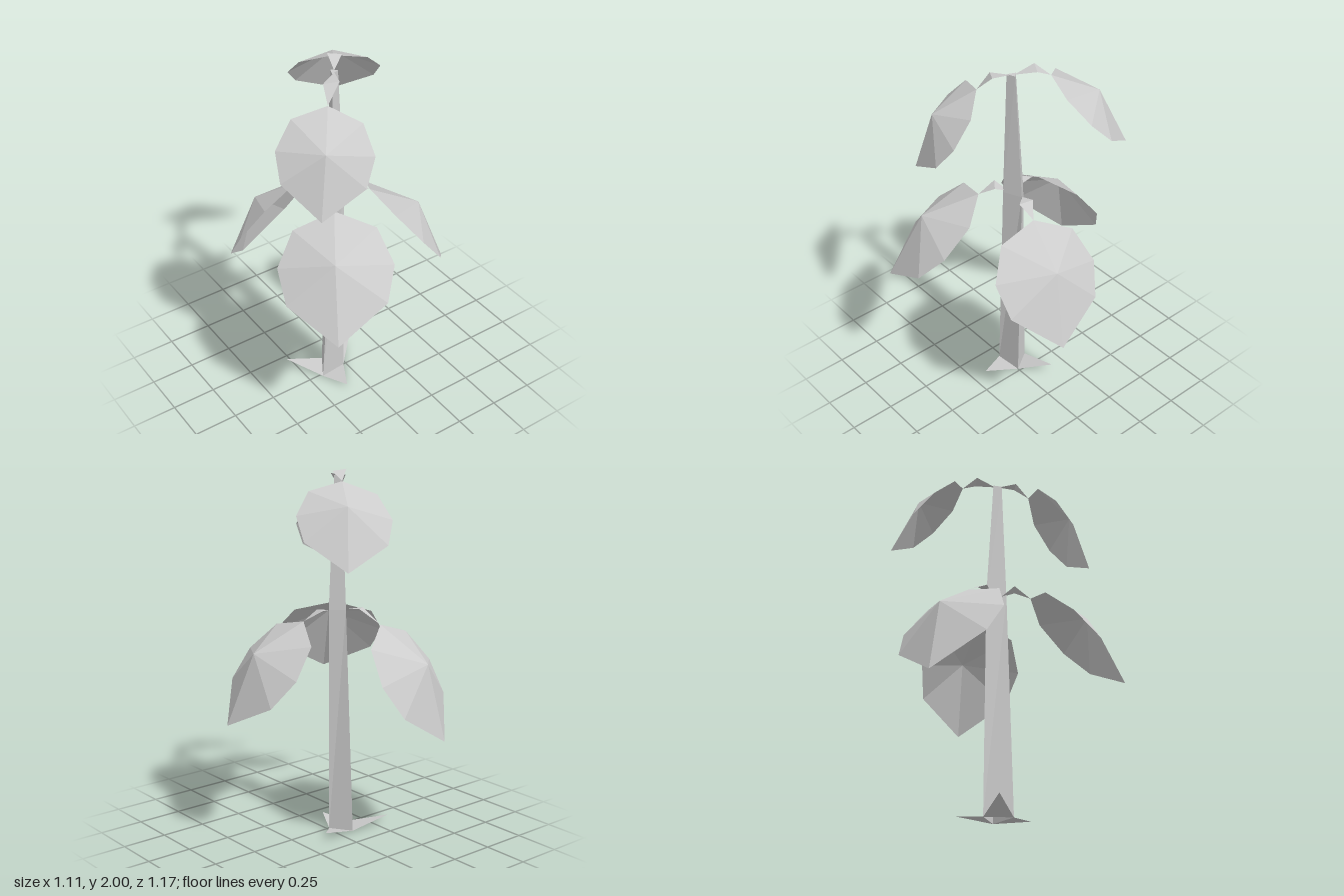
import * as THREE from 'three';

const material = new THREE.MeshStandardMaterial({ color: 0xcccccc, flatShading: true, side: THREE.DoubleSide });
const V = (p) => new THREE.Vector3(...p);

// Flat-shaded mesh from a list of triangles, each three points
function facets(name, triangles) {
  const geometry = new THREE.BufferGeometry().setFromPoints(triangles.flat().map((p) => (p.isVector3 ? p : V(p))));
  geometry.computeVertexNormals();
  const mesh = new THREE.Mesh(geometry, material);
  mesh.name = name;
  return mesh;
}

// Three-sided trunk, one triangle per level
function makeTrunk(levels) {
  const tris = [];
  for (let i = 0; i + 1 < levels.length; i++) {
    const lo = levels[i], hi = levels[i + 1];
    for (let k = 0; k < 3; k++) {
      const n = (k + 1) % 3;
      tris.push([lo[k], lo[n], hi[n]], [lo[k], hi[n], hi[k]]);
    }
  }
  tris.push(levels[levels.length - 1]);
  return facets('trunk', tris);
}

// Eight-sided leaf rim in fractions of leaf length: [along, across]
const RIM = [[0, 0], [0.13, 0.31], [0.41, 0.43], [0.69, 0.37], [1, 0], [0.69, -0.37], [0.41, -0.43], [0.13, -0.31]];

// Leaf: planar rim fanned to a raised centre
function makeLeaf({ base, tip, side }) {
  const origin = V(base);
  const along = V(tip).sub(origin);
  const length = along.length();
  along.normalize();
  const across = V(side).addScaledVector(along, -V(side).dot(along)).normalize();
  const up = across.clone().cross(along);
  if (up.y < 0) { up.negate(); across.negate(); }
  const at = (a, s, h) => origin.clone()
    .addScaledVector(along, a * length).addScaledVector(across, s * length).addScaledVector(up, h * length);
  const centre = at(0.43, 0, 0.19);
  const rim = RIM.map(([a, s]) => at(a, s, 0));
  return facets('leaf', rim.map((p, i) => [centre, p, rim[(i + 1) % rim.length]]));
}

// Stalk: folded diamond from trunk to leaf base
function makeStalk({ root, bend, base }) {
  const [a, b] = bend;
  return facets('leafStalk', [[root, a, b], [a, base, b]]);
}

export function createModel() {
  const group = new THREE.Group();
  group.name = 'plant';

  // Corners: front left, front right, back
  const foot = [[-0.17, 0, 0.015], [-0.015, 0, 0], [-0.09, 0, -0.115]];
  const middle = [[-0.1, 1.25, 0.03], [0, 1.25, -0.015], [-0.065, 1.25, -0.08]];
  const top = [[-0.088, 1.96, 0.01], [-0.042, 1.96, -0.008], [-0.07, 1.96, -0.035]];
  group.add(makeTrunk([foot, middle, top]));

  // One root spike per trunk side
  const rootTips = [[-0.107, 0.02, 0.17], [0.125, 0.05, -0.14], [-0.3, 0.06, -0.17]];
  rootTips.forEach((tip, k) => group.add(facets('root', [[foot[k], tip, foot[(k + 1) % 3]]])));

  // Two crown leaves, then three lower leaves
  const leaves = [
    { root: [-0.07, 1.96, 0], bend: [[-0.17, 1.95, 0.05], [-0.1, 1.96, 0.09]],
      base: [-0.19, 1.87, 0.12], tip: [-0.4, 1.41, 0.37], side: [0.34, -0.05, 0.25] },
    { root: [-0.06, 1.96, -0.015], bend: [[0.035, 1.99, -0.085], [-0.03, 2, -0.12]],
      base: [0.04, 1.945, -0.17], tip: [0.27, 1.54, -0.49], side: [0.35, 0.04, 0.24] },
    { root: [0, 1.25, -0.02], bend: [[0.06, 1.255, 0.04], [0.04, 1.25, 0.035]].map((p, i) => (i ? p : [0.06, 1.255, -0.04])),
      base: [0.14, 1.2, 0.025], tip: [0.545, 0.67, 0.165], side: [-0.13, 0.075, 0.495] },
    { root: [-0.09, 1.25, -0.06], bend: [[-0.14, 1.265, -0.13], [-0.09, 1.265, -0.16]],
      base: [-0.15, 1.19, -0.26], tip: [-0.31, 0.595, -0.595], side: [0.48, 0.02, -0.18] },
    { root: [-0.09, 1.25, 0], bend: [[-0.16, 1.3, 0.04], [-0.1, 1.295, 0.085]],
      base: [-0.17, 1.25, 0.14], tip: [-0.435, 0.765, 0.56], side: [0.4, -0.02, 0.32] },
  ];
  for (const leaf of leaves) group.add(makeStalk(leaf), makeLeaf(leaf));

  return group;
}
